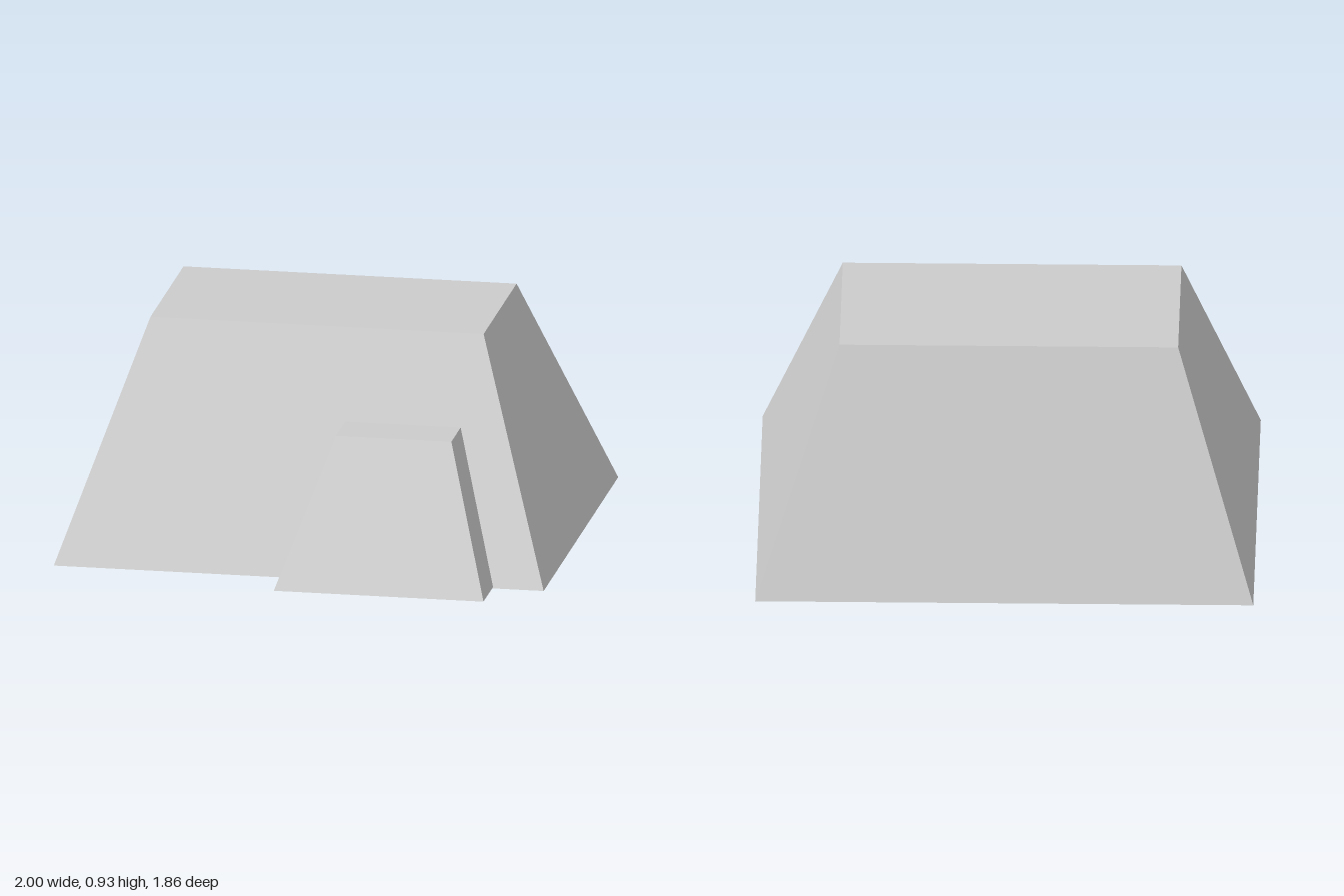
import * as THREE from 'three';

const material = new THREE.MeshStandardMaterial({ color: 0xcccccc, flatShading: true });

// Box whose bottom and top rectangles [xMin, xMax, zMin, zMax] differ
function taperedBlock(name, y0, y1, bottom, top) {
  const geometry = new THREE.BoxGeometry(1, 1, 1);
  const p = geometry.attributes.position;
  for (let i = 0; i < p.count; i++) {
    const up = p.getY(i) > 0;
    const [xMin, xMax, zMin, zMax] = up ? top : bottom;
    p.setXYZ(i, p.getX(i) > 0 ? xMax : xMin, up ? y1 : y0, p.getZ(i) > 0 ? zMax : zMin);
  }
  geometry.computeVertexNormals();
  const mesh = new THREE.Mesh(geometry, material);
  mesh.name = name;
  return mesh;
}

export function createModel() {
  const group = new THREE.Group();
  group.name = 'taperedBuilding';
  group.add(
    // Large flat-topped body
    taperedBlock('mainBody', 0, 0.925, [-1, 1, -0.93, 0.72], [-0.69, 0.67, -0.47, 0.26]),
    // Small porch, its back sunk into the body's front slope
    taperedBlock('frontPorch', 0.005, 0.58, [-0.063, 0.793, 0.1, 0.93], [0.136, 0.608, 0.3, 0.637])
  );
  return group;
}
